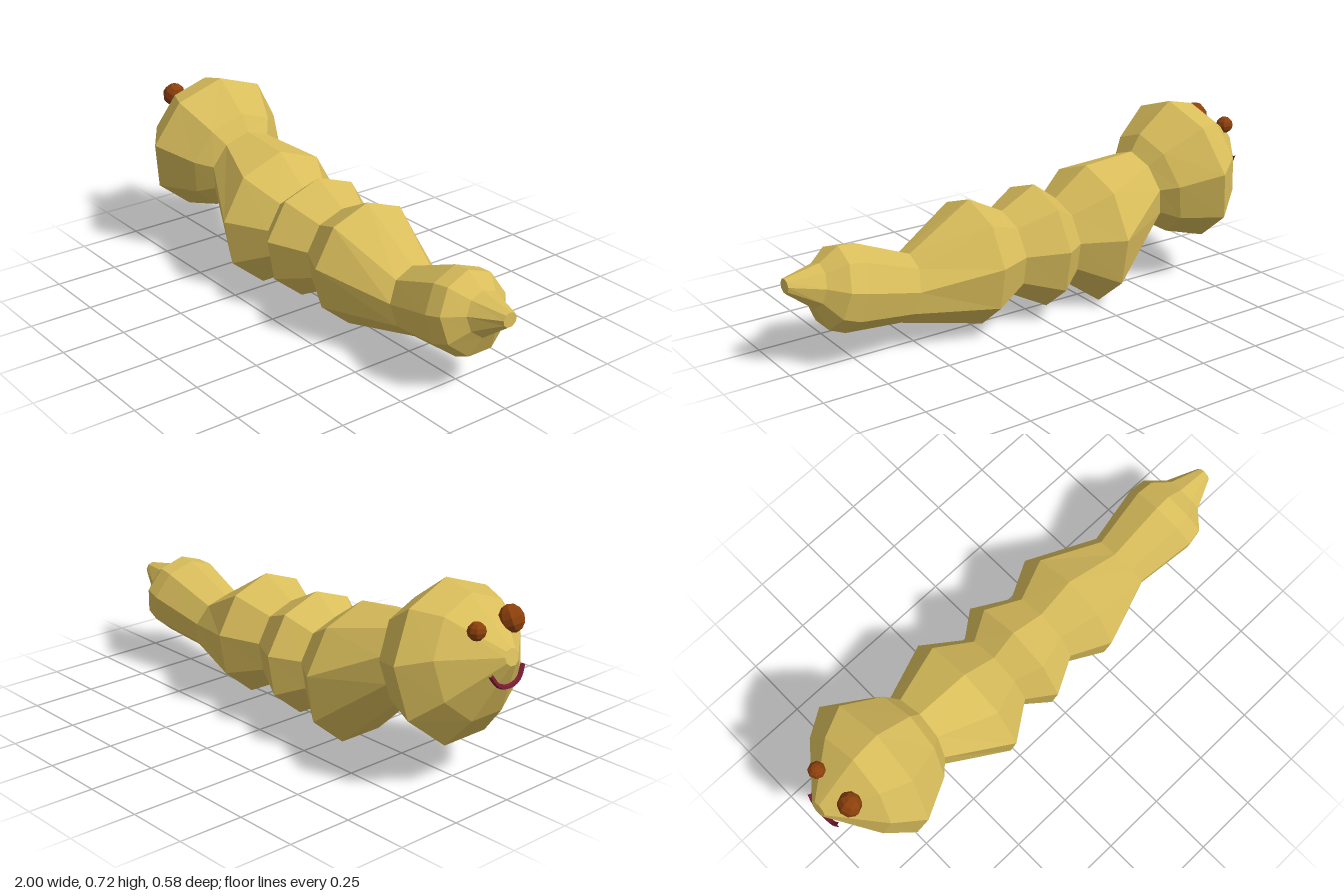
import * as THREE from 'three';

const SIDES = 9;

// Body rings from tail to head: [topX, topY, bottomX, bottomY, halfWidth]
const TAIL = [
  [1.0, 0.367, 1.0, 0.312, 0.03],
  [0.865, 0.393, 0.905, 0.24, 0.085],
  [0.79, 0.441, 0.865, 0.158, 0.15],
  [0.725, 0.436, 0.805, 0.133, 0.16],
  [0.505, 0.345, 0.575, 0.108, 0.125],
];
const TRUNK = [
  TAIL[4],
  [0.25, 0.5, 0.25, 0.035, 0.236],
  [0.105, 0.425, 0.105, 0.11, 0.162],
  [-0.04, 0.5, -0.04, 0.035, 0.24],
  [-0.14, 0.425, -0.14, 0.11, 0.165],
  [-0.285, 0.528, -0.285, 0.0, 0.268],
  [-0.505, 0.543, -0.565, 0.254, 0.15],
];
const HEAD = [
  TRUNK[6],
  [-0.545, 0.607, -0.635, 0.206, 0.205],
  [-0.69, 0.717, -0.8, 0.163, 0.29],
  [-0.805, 0.69, -0.895, 0.275, 0.215],
  [-0.985, 0.545, -1.0, 0.487, 0.033],
];

// Point k of a nine-sided ring with one corner at the top
function ringPoint([tx, ty, bx, by, w], k) {
  const a = (k / SIDES) * Math.PI * 2;
  const span = 1 + Math.cos(Math.PI / SIDES);
  const ux = (tx - bx) / span, uy = (ty - by) / span;
  const c = Math.cos(a) - 1;
  return [tx + ux * c, ty + uy * c, (Math.sin(a) * w) / Math.sin((4 * Math.PI) / 9)];
}

// Faceted skin through a run of rings, optionally closed at either end
function skin(rings, capStart, capEnd) {
  const pos = [];
  const tri = (...pts) => pts.forEach((p) => pos.push(...p));
  const last = rings[rings.length - 1];
  for (let k = 0; k < SIDES; k++) {
    for (let i = 0; i < rings.length - 1; i++) {
      const a = ringPoint(rings[i], k), b = ringPoint(rings[i + 1], k);
      const c = ringPoint(rings[i], k + 1), d = ringPoint(rings[i + 1], k + 1);
      tri(a, b, c);
      tri(b, d, c);
    }
    if (capStart) tri(ringPoint(rings[0], 0), ringPoint(rings[0], k), ringPoint(rings[0], k + 1));
    if (capEnd) tri(ringPoint(last, 0), ringPoint(last, k + 1), ringPoint(last, k));
  }
  const g = new THREE.BufferGeometry();
  g.setAttribute('position', new THREE.Float32BufferAttribute(pos, 3));
  g.computeVertexNormals();
  return g;
}

function faceted(geometry) {
  const g = geometry.toNonIndexed();
  g.computeVertexNormals();
  return g;
}

export function createModel() {
  const skinMat = new THREE.MeshStandardMaterial({ color: 0xd9bd5b });
  skinMat.name = 'ochre skin';
  const eyeMat = new THREE.MeshStandardMaterial({ color: 0x8c400c });
  eyeMat.name = 'brown eye';
  const mouthMat = new THREE.MeshStandardMaterial({ color: 0x7d1c34 });
  mouthMat.name = 'dark red mouth';

  const group = new THREE.Group();
  const add = (name, geometry, material) => {
    const mesh = new THREE.Mesh(geometry, material);
    mesh.name = name;
    group.add(mesh);
    return mesh;
  };

  // Segmented body
  add('tail', skin(TAIL, true, false), skinMat);
  add('trunk', skin(TRUNK, false, false), skinMat);
  add('head', skin(HEAD, false, true), skinMat);

  // Uneven beady eyes: the left one is larger and stands out further
  const ball = faceted(new THREE.SphereGeometry(1, 8, 6));
  const leftEye = add('leftEye', ball, eyeMat);
  leftEye.position.set(-0.91, 0.607, 0.087);
  leftEye.scale.set(0.042, 0.05, 0.046);
  leftEye.rotation.z = -0.5;
  const rightEye = add('rightEye', ball, eyeMat);
  rightEye.position.set(-0.91, 0.603, -0.085);
  rightEye.scale.setScalar(0.033);

  // Thin curved smile wrapped across the front of the head
  const smile = new THREE.CatmullRomCurve3(
    [[-0.972, 0.465, -0.08], [-0.982, 0.425, -0.05], [-0.985, 0.41, 0],
      [-0.982, 0.425, 0.05], [-0.972, 0.465, 0.08]].map((p) => new THREE.Vector3(...p)),
  );
  add('mouth', faceted(new THREE.TubeGeometry(smile, 12, 0.009, 5)), mouthMat);

  return group;
}
